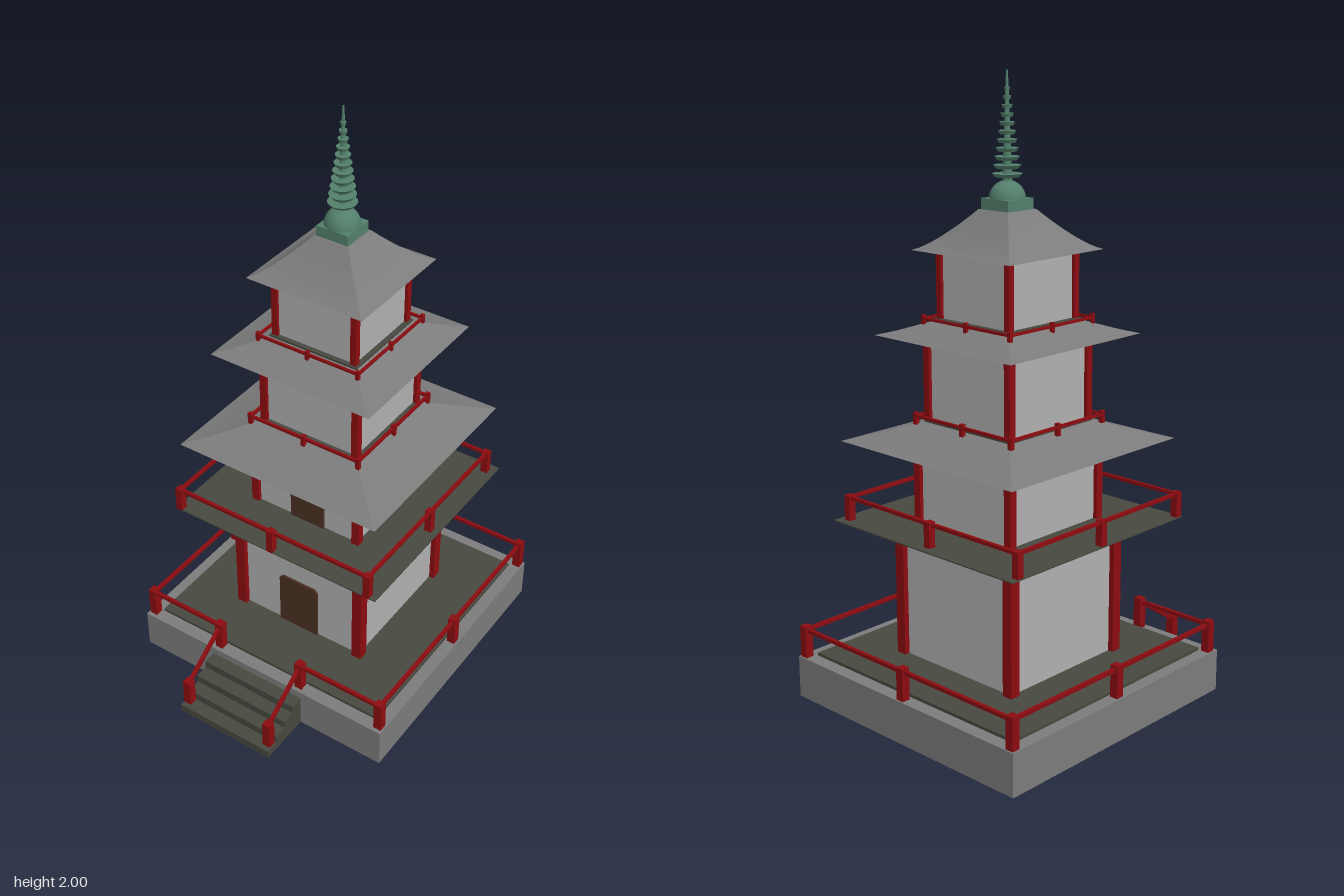
import * as THREE from 'three';

const CZ = -0.092; // the tower stands behind the stairs

const paint = (name, color) => {
  const m = new THREE.MeshStandardMaterial({ color });
  m.name = name;
  return m;
};

export function createModel() {
  const stone = paint('stone grey', 0x7c7c7c);
  const plaster = paint('pale plaster', 0xb0b0b0);
  const dark = paint('dark floor', 0x47483f);
  const red = paint('red lacquer', 0x8c0c10);
  const brown = paint('brown door', 0x4a3024);
  const green = paint('green bronze', 0x537f6b);

  const model = new THREE.Group();
  model.name = 'pagoda';

  const add = (parent, name, geometry, material, x = 0, y = 0, z = 0) => {
    const mesh = new THREE.Mesh(geometry, material);
    mesh.name = name;
    mesh.position.set(x, y, z);
    parent.add(mesh);
    return mesh;
  };
  // box given by its bottom and top heights
  const block = (parent, name, mat, w, y0, y1, d, x = 0, z = 0) =>
    add(parent, name, new THREE.BoxGeometry(w, y1 - y0, d), mat, x, (y0 + y1) / 2, z);

  // straight square bar between two points
  const bar = (parent, name, a, b, size) => {
    const p = new THREE.Vector3(...a), q = new THREE.Vector3(...b);
    const m = add(parent, name, new THREE.BoxGeometry(size, size, p.distanceTo(q)), red);
    m.position.copy(p).add(q).multiplyScalar(0.5);
    m.lookAt(q);
  };

  // square solid from a profile of [half width, height], smooth up each slope
  const squareLathe = (profile) => {
    const pos = [], idx = [];
    for (let s = 0; s < 4; s++) {
      const c = Math.round(Math.cos(s * Math.PI / 2)), n = Math.round(Math.sin(s * Math.PI / 2));
      const base = pos.length / 3;
      profile.forEach(([h, y], i) => {
        for (const x of [-h, h]) pos.push(x * c + h * n, y, -x * n + h * c);
        if (i) {
          const a = base + 2 * i - 2;
          idx.push(a, a + 1, a + 3, a, a + 3, a + 2);
        }
      });
    }
    // closed underside and top
    [profile[0], profile[profile.length - 1]].forEach(([h, y], top) => {
      const b = pos.length / 3;
      pos.push(-h, y, -h, h, y, -h, h, y, h, -h, y, h);
      idx.push(...(top ? [0, 2, 1, 0, 3, 2] : [0, 1, 2, 0, 2, 3]).map((k) => b + k));
    });
    const g = new THREE.BufferGeometry();
    g.setAttribute('position', new THREE.Float32BufferAttribute(pos, 3));
    g.setIndex(idx);
    g.computeVertexNormals();
    return g;
  };

  // concave roof from eave to crown
  const roof = (name, h0, y0, h1, y1, sag) => {
    const profile = [];
    for (let i = 0; i <= 8; i++) {
      const t = i / 8;
      profile.push([h0 + (h1 - h0) * t, y0 + (y1 - y0) * Math.pow(t, sag)]);
    }
    add(model, name, squareLathe(profile), stone, 0, 0, CZ);
  };

  // square railing with corner and middle posts
  const railing = (name, cx, cz, half, y0, y1, railY, post, rail) => {
    const g = new THREE.Group();
    g.name = name;
    for (const i of [-1, 0, 1]) for (const k of [-1, 0, 1]) {
      if (i || k) block(g, 'railPost', red, post, y0, y1, post, cx + i * half, cz + k * half);
    }
    for (const s of [-1, 1]) {
      bar(g, 'rail', [cx - half, railY, cz + s * half], [cx + half, railY, cz + s * half], rail);
      bar(g, 'rail', [cx + s * half, railY, cz - half], [cx + s * half, railY, cz + half], rail);
    }
    model.add(g);
  };

  // Terrace
  block(model, 'terrace', stone, 0.96, 0, 0.14, 0.966, 0, CZ);
  block(model, 'terraceFloor', dark, 0.876, 0.14, 0.15, 0.876, 0, CZ);

  // Stairs
  for (let i = 0; i < 4; i++) {
    const depth = 0.186 - i * 0.0465;
    block(model, 'stairStep', dark, 0.36, i * 0.0285, (i + 1) * 0.0285, depth, -0.01, 0.39 + depth / 2);
  }

  // Terrace railing, open at the stairs
  const fence = new THREE.Group();
  fence.name = 'terraceRailing';
  model.add(fence);
  const zb = -0.556, zf = 0.364, xs = 0.46, ry = 0.232;
  const posts = [[0, zb]];
  for (const s of [-1, 1]) {
    const gx = -0.012 + s * 0.163;
    posts.push([s * xs, zb], [s * xs, -0.097], [s * xs, zf], [gx, zf]);
    bar(fence, 'rail', [s * xs, ry, zb], [s * xs, ry, zf], 0.012);
    bar(fence, 'rail', [s * xs, ry, zf], [gx, ry, zf], 0.012);
    bar(fence, 'stairRail', [gx, ry, zf], [gx, 0.112, 0.545], 0.012);
    block(fence, 'stairPost', red, 0.028, 0.025, 0.125, 0.028, gx, 0.545);
  }
  bar(fence, 'rail', [-xs, ry, zb], [xs, ry, zb], 0.012);
  for (const [x, z] of posts) block(fence, 'railPost', red, 0.028, 0.14, 0.246, 0.028, x, z);

  // Storeys: bottom, top, post centre, post size
  const storeys = [
    [0.15, 0.545, 0.237, 0.036],
    [0.60, 0.868, 0.197, 0.027],
    [0.93, 1.21, 0.173, 0.024],
    [1.25, 1.472, 0.144, 0.021],
  ];
  for (const [y0, y1, c, size] of storeys) {
    block(model, 'walls', plaster, c * 2, y0, y1, c * 2, 0, CZ);
    for (const x of [-c, c]) for (const z of [-c, c]) {
      block(model, 'cornerPost', red, size, y0, y1, size, x, CZ + z);
    }
  }

  // Doors with clipped upper corners
  const door = (x, y0, w, h, z) => {
    const e = 0.012, s = new THREE.Shape();
    s.moveTo(-w / 2, 0).lineTo(w / 2, 0).lineTo(w / 2, h - e).lineTo(w / 2 - e, h);
    s.lineTo(-w / 2 + e, h).lineTo(-w / 2, h - e);
    add(model, 'door', new THREE.ExtrudeGeometry(s, { depth: 0.008, bevelEnabled: false }), brown, x, y0, z);
  };
  door(-0.004, 0.15, 0.152, 0.202, CZ + 0.237);
  door(0.007, 0.60, 0.128, 0.153, CZ + 0.197);

  // Balcony flaring out over the first storey
  add(model, 'balcony', squareLathe([[0.25, 0.54], [0.39, 0.6]]), stone, 0, 0, CZ);
  block(model, 'balconyFloor', dark, 0.78, 0.6, 0.604, 0.78, 0, CZ);
  railing('balconyRailing', -0.01, -0.079, 0.366, 0.6, 0.686, 0.678, 0.024, 0.011);

  // Roofs, each with a small walkway above
  roof('lowerRoof', 0.37, 0.864, 0.19, 0.925, 1.15);
  block(model, 'walkway', dark, 0.37, 0.92, 0.934, 0.37, 0, CZ);
  railing('lowerRoofRailing', -0.004, CZ, 0.205, 0.918, 0.957, 0.945, 0.014, 0.009);
  roof('middleRoof', 0.29, 1.202, 0.16, 1.247, 1.15);
  block(model, 'walkway', dark, 0.32, 1.242, 1.254, 0.32, 0, CZ);
  railing('middleRoofRailing', -0.002, CZ, 0.183, 1.23, 1.266, 1.254, 0.012, 0.008);
  roof('topRoof', 0.207, 1.465, 0.062, 1.588, 1.35);

  // Spire: base block, dome, mast and shrinking rings
  block(model, 'spireBase', green, 0.112, 1.585, 1.622, 0.112, 0, CZ);
  add(model, 'spireDome', new THREE.SphereGeometry(0.056, 24, 10, 0, Math.PI * 2, 0, Math.PI / 2), green, 0, 1.62, CZ);
  add(model, 'spireMast', new THREE.CylinderGeometry(0.003, 0.016, 0.34, 12), green, 0, 1.83, CZ);
  for (let i = 0; i < 11; i++) {
    const r = 0.046 - i * 0.0037;
    add(model, 'spireRing', new THREE.CylinderGeometry(r, r * 0.8, 0.011, 24), green, 0, 1.69 + i * 0.0255, CZ);
  }
  return model;
}
